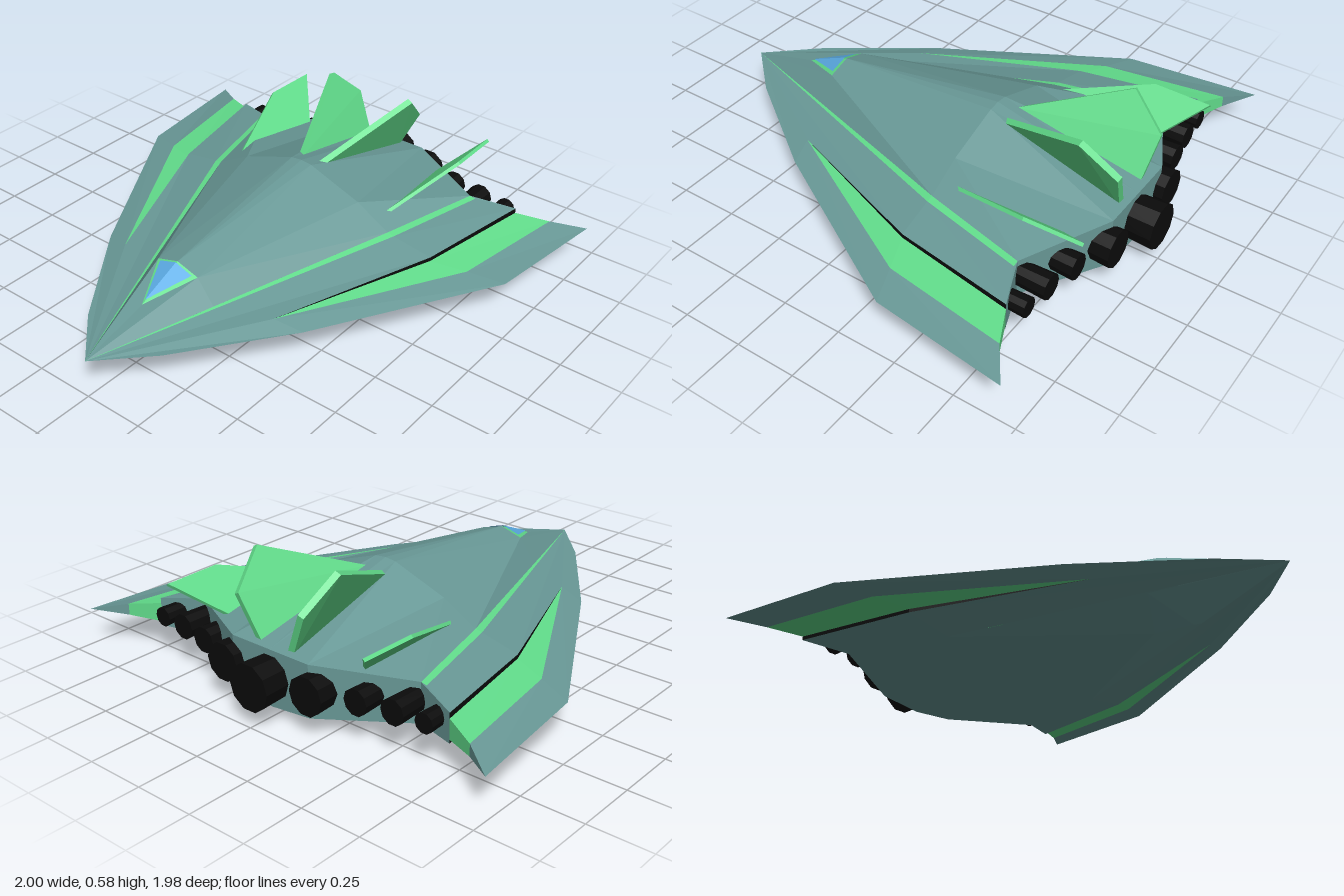
import * as THREE from 'three';
import { ConvexGeometry } from 'three/addons/geometries/ConvexGeometry.js';

const mat = (name, color) => {
  const m = new THREE.MeshStandardMaterial({ color, flatShading: true, side: THREE.DoubleSide });
  m.name = name;
  return m;
};
const V = (x, y, z) => new THREE.Vector3(x, y, z);
const UP = V(0, 1, 0), DOWN = V(0, -1, 0), BACK = V(1, 0, 0), OUT = V(0, 0, 1);

// Convex polygons on both sides of the ship, each turned to face dir
function panels(name, material, list) {
  const pos = [];
  for (const [dir, ...pts] of list) for (const s of [1, -1]) {
    const p = pts.map(v => V(v.x, v.y, v.z * s));
    const d = V(dir.x, dir.y, dir.z * s);
    for (let i = 1; i < p.length - 1; i++) {
      const tri = [p[0], p[i], p[i + 1]];
      const n = tri[1].clone().sub(tri[0]).cross(tri[2].clone().sub(tri[0]));
      if (n.dot(d) < 0) tri.reverse();
      tri.forEach(v => pos.push(v.x, v.y, v.z));
    }
  }
  const g = new THREE.BufferGeometry();
  g.setAttribute('position', new THREE.Float32BufferAttribute(pos, 3));
  g.computeVertexNormals();
  const m = new THREE.Mesh(g, material);
  m.name = name;
  return m;
}

export function createModel() {
  const ship = new THREE.Group();
  ship.name = 'spaceship';
  const grey = mat('hullGrey', 0x699997), green = mat('trimGreen', 0x62de8c);
  const blue = mat('canopyBlue', 0x5cade6), black = mat('engineBlack', 0x0b0b0b);

  // Upper hull: nose, ridge R, shoulder S, base line B
  const N = V(-1, 0.165, 0);
  const R1 = V(-0.7, 0.243, 0), R2 = V(-0.5, 0.33, 0), R3 = V(0.26, 0.425, 0), R3b = V(0.26, 0.42, 0.05), R4 = V(0.89, 0.27, 0);
  const S2 = V(-0.5, 0.3, 0.1), S3 = V(0.26, 0.335, 0.29), S4 = V(0.89, 0.27, 0.19);
  const B2 = V(-0.5, 0.2, 0.175), B3 = V(0.26, 0.252, 0.44), B4 = V(0.71, 0.25, 0.55);
  // Trim line C, step D, wing band F, sharp wing edge E
  const C3 = V(0.26, 0.246, 0.47), C4 = V(0.71, 0.245, 0.575);
  const D1 = V(-0.4, 0.185, 0.385), D3 = V(0.27, 0.213, 0.64), D4 = V(0.78, 0.225, 0.73);
  const G3 = V(0.27, 0.196, 0.64), G4 = V(0.78, 0.203, 0.73);
  const F3 = V(0.32, 0.18, 0.78), F4 = V(0.84, 0.184, 0.86);
  const E1 = V(-0.8, 0.163, 0.19), E2 = V(-0.37, 0.16, 0.5), E3 = V(0.37, 0.158, 0.925), E4 = V(0.93, 0.156, 0.99);
  // Lower hull: keel K, chine M, and the wing points flipped downward
  const K1 = V(-0.58, 0.035, 0), K2 = V(-0.4, 0.05, 0), K3 = V(0.26, 0.0, 0), K4 = V(0.89, 0.04, 0);
  const M1 = V(-0.5, 0.125, 0.175), M3 = V(0.26, 0.075, 0.44), M4 = V(0.71, 0.088, 0.55), P4 = V(0.89, 0.058, 0.19);
  const low = (v, dy = 0) => V(v.x, 0.32 - v.y + dy, v.z);
  const d1 = low(D1), d3 = low(D3, 0.003), d4 = low(D4, 0.013);
  const g3 = low(G3), g4 = low(G4, 0.006), f3 = low(F3), f4 = low(F4);

  ship.add(panels('upperHull', grey, [
    [UP, N, R1, S2], [UP, N, S2, B2],
    [UP, R2, R3, R3b, S2], [UP, S2, R3b, S3], [UP, S2, S3, B3, B2],
    [UP, R3, R4, R3b], [UP, R3b, R4, S4, S3], [UP, S3, S4, B4, B3],
    [UP, C3, C4, D4, D3], [UP, N, C3, D3, D1],
  ]));
  ship.add(panels('lowerHull', grey, [
    [DOWN, N, K1, M1], [DOWN, K1, K2, M1], [DOWN, K2, K3, M3, M1],
    [DOWN, K3, K4, P4], [DOWN, K3, P4, M4, M3],
    [DOWN, M3, M4, d4, d3], [DOWN, N, M3, d3, d1],
  ]));
  ship.add(panels('sternPlate', grey, [
    [BACK, R4, S4, P4, K4], [BACK, S4, B4, M4, P4], [BACK, B4, C4, D4, d4, M4],
  ]));
  ship.add(panels('wingEdge', grey, [
    [UP, N, D1, E2, E1], [UP, D1, F3, E3, E2], [UP, F3, F4, E4, E3],
    [DOWN, N, d1, E2, E1], [DOWN, d1, f3, E3, E2], [DOWN, f3, f4, E4, E3],
    [BACK, F4, E4, f4],
  ]));
  ship.add(panels('wingBand', green, [
    [UP, D1, G3, F3], [UP, G3, G4, F4, F3],
    [DOWN, d1, g3, f3], [DOWN, g3, g4, f4, f3],
    [BACK, G4, F4, f4, g4],
  ]));
  ship.add(panels('wingStep', black, [
    [OUT, D1, D3, G3], [OUT, D3, D4, G4, G3],
    [OUT, d1, d3, g3], [OUT, d3, d4, g4, g3],
  ]));
  ship.add(panels('hullTrim', green, [[UP, N, B3, C3], [UP, B3, B4, C4, C3]]));

  // Canopy: green frame with raised blue glass
  const mix = (a, b, c) => R1.clone().multiplyScalar(a).addScaledVector(R2, b).addScaledVector(S2, c).add(V(-0.002, 0.004, 0));
  ship.add(panels('canopyFrame', green, [[UP, R1, R2, S2]]));
  ship.add(panels('canopyGlass', blue, [[UP, mix(0.9, 0.1, 0), mix(0.04, 0.96, 0), mix(0.05, 0.15, 0.8)]]));

  // Tilted tail fins
  function fin(name, pts, t) {
    const n = pts[1].clone().sub(pts[0]).cross(pts[3].clone().sub(pts[0])).normalize().multiplyScalar(t / 2);
    for (const s of [1, -1]) {
      const c = pts.flatMap(p => [p.clone().add(n), p.clone().sub(n)]).map(p => V(p.x, p.y, p.z * s));
      const m = new THREE.Mesh(new ConvexGeometry(c), green);
      m.name = name;
      ship.add(m);
    }
  }
  fin('innerFin', [V(0.32, 0.395, 0.05), V(0.74, 0.57, 0.205), V(0.885, 0.44, 0.16), V(0.86, 0.26, 0.075)], 0.026);
  fin('outerFin', [V(0.27, 0.27, 0.365), V(0.69, 0.398, 0.495), V(0.93, 0.398, 0.49), V(0.77, 0.26, 0.345)], 0.014);

  // Engine row: z, y, radius, rear end, length
  for (const [z, y, r, end, len] of [
    [0, 0.16, 0.095, 1, 0.2], [0.21, 0.168, 0.078, 0.93, 0.16], [0.385, 0.178, 0.053, 0.865, 0.13],
    [0.53, 0.181, 0.052, 0.84, 0.13], [0.66, 0.181, 0.04, 0.83, 0.1],
  ]) for (const s of z ? [1, -1] : [1]) {
    const e = new THREE.Mesh(new THREE.CylinderGeometry(r * 0.9, r, len, 10), black);
    e.rotation.z = Math.PI / 2;
    e.position.set(end - len / 2, y, z * s);
    e.name = 'engine';
    ship.add(e);
  }
  return ship;
}
